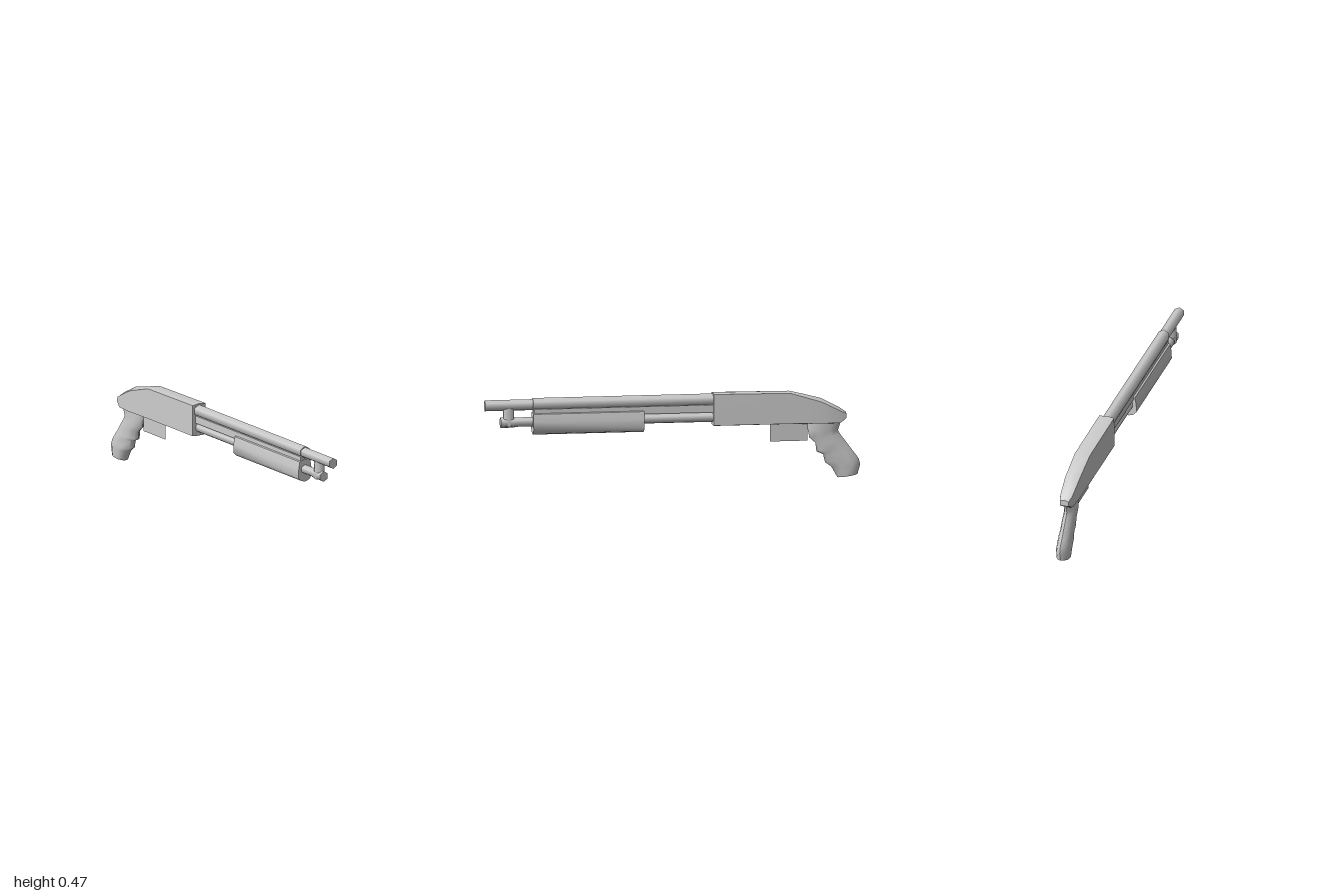
import * as THREE from 'three';
import { toCreasedNormals } from 'three/addons/utils/BufferGeometryUtils.js';

const material = new THREE.MeshStandardMaterial({ color: 0xcccccc });

function add(group, name, geometry, mat = material) {
  const mesh = new THREE.Mesh(geometry, mat);
  mesh.name = name;
  group.add(mesh);
  return mesh;
}

// Completes a half section [x, y, z] whose first and last points lie on z = 0.
function mirrorRing(half) {
  const other = half.slice(1, -1).reverse().map(([x, y, z]) => [x, y, -z]);
  return [...half, ...other];
}

// Skins a row of closed rings and caps both ends.
function loft(halfRings, crease = 0.75) {
  const rings = halfRings.map(mirrorRing);
  const n = rings[0].length;
  const positions = [];
  const tri = (a, b, c) => positions.push(...a, ...b, ...c);
  for (let i = 0; i < rings.length - 1; i++) {
    for (let j = 0; j < n; j++) {
      const k = (j + 1) % n;
      tri(rings[i][j], rings[i][k], rings[i + 1][k]);
      tri(rings[i][j], rings[i + 1][k], rings[i + 1][j]);
    }
  }
  const cap = (ring, flip) => {
    const c = [0, 1, 2].map((a) => ring.reduce((s, p) => s + p[a], 0) / n);
    ring.forEach((p, j) => {
      const q = ring[(j + 1) % n];
      if (flip) tri(c, q, p); else tri(c, p, q);
    });
  };
  cap(rings[0], true);
  cap(rings[rings.length - 1], false);
  const geometry = new THREE.BufferGeometry();
  geometry.setAttribute('position', new THREE.Float32BufferAttribute(positions, 3));
  return toCreasedNormals(geometry, crease);
}

// Six-sided tube along x with an edge pointing up.
function hexTube(x0, x1, y, r) {
  return new THREE.CylinderGeometry(r, r, x1 - x0, 6, 1, false, Math.PI / 2)
    .rotateZ(-Math.PI / 2)
    .translate((x0 + x1) / 2, y, 0);
}

export function createModel() {
  const model = new THREE.Group();
  model.name = 'pumpActionProp';

  // Receiver: x, top, bottom, half width, top edge drop
  const receiver = [
    [-0.922, 0.353, 0.318, 0.024, 0.008],
    [-0.89, 0.375, 0.295, 0.034, 0.014],
    [-0.79, 0.428, 0.295, 0.041, 0.016],
    [-0.7, 0.452, 0.297, 0.042, 0.012],
    [-0.62, 0.471, 0.298, 0.043, 0.007],
    [-0.214, 0.473, 0.298, 0.043, 0.005],
  ].map(([x, top, bottom, w, drop]) => [
    [x, top, 0],
    [x, top - drop, w * 0.96],
    [x, (top + bottom) / 2, w],
    [x, bottom + 0.004, w * 1.03],
    [x, bottom, w * 0.6],
    [x, bottom, 0],
  ]);
  add(model, 'receiver', loft(receiver));

  // Pistol grip, bottom to top: back x, back y, front x, front y, half width
  const grip = [
    [-0.985, 0.02, -0.877, 0.005, 0.033],
    [-0.999, 0.07, -0.845, 0.062, 0.035],
    [-0.992, 0.1, -0.812, 0.085, 0.034],
    [-0.965, 0.137, -0.802, 0.128, 0.032],
    [-0.95, 0.157, -0.766, 0.145, 0.031],
    [-0.918, 0.2, -0.761, 0.19, 0.03],
    [-0.892, 0.235, -0.728, 0.22, 0.029],
    [-0.88, 0.255, -0.72, 0.262, 0.029],
    [-0.9, 0.31, -0.717, 0.31, 0.03],
  ].map(([bx, by, fx, fy, w]) => {
    const at = (t, z) => [bx + (fx - bx) * t, by + (fy - by) * t, z];
    return [at(0, 0), at(0.1, w * 0.6), at(0.3, w), at(0.7, w), at(0.95, w * 0.5), at(1, 0)];
  });
  add(model, 'grip', loft(grip, 1.0));

  // Flat trigger guard plate
  const thin = material.clone();
  thin.side = THREE.DoubleSide;
  add(model, 'triggerGuard', new THREE.PlaneGeometry(0.2, 0.1).translate(-0.618, 0.253, 0), thin);

  // Barrel, muzzle and magazine tube
  add(model, 'barrel', hexTube(-0.23, 0.745, 0.434, 0.033));
  add(model, 'muzzle', hexTube(0.74, 1, 0.432, 0.029));
  add(model, 'magazineTube', hexTube(-0.23, 0.86, 0.341, 0.025));
  add(model, 'magazineCap', hexTube(0.842, 0.916, 0.34, 0.028));

  // Rail between barrel and magazine tube
  add(model, 'actionBar', new THREE.BoxGeometry(0.96, 0.04, 0.05).translate(0.26, 0.39, 0));

  // Sliding fore-end
  const section = [[0.395, 0], [0.385, 0.034], [0.345, 0.041], [0.3, 0.043], [0.281, 0.026], [0.272, 0]];
  const foreEnd = [0.155, 0.745].map((x) => section.map(([y, z]) => [x, y, z]));
  add(model, 'foreEnd', loft(foreEnd, 1.0));

  // Clamp joining barrel and magazine cap
  add(model, 'barrelClamp', new THREE.CylinderGeometry(0.032, 0.032, 0.095, 6)
    .scale(1, 1, 0.85).translate(0.872, 0.368, 0));

  return model;
}
